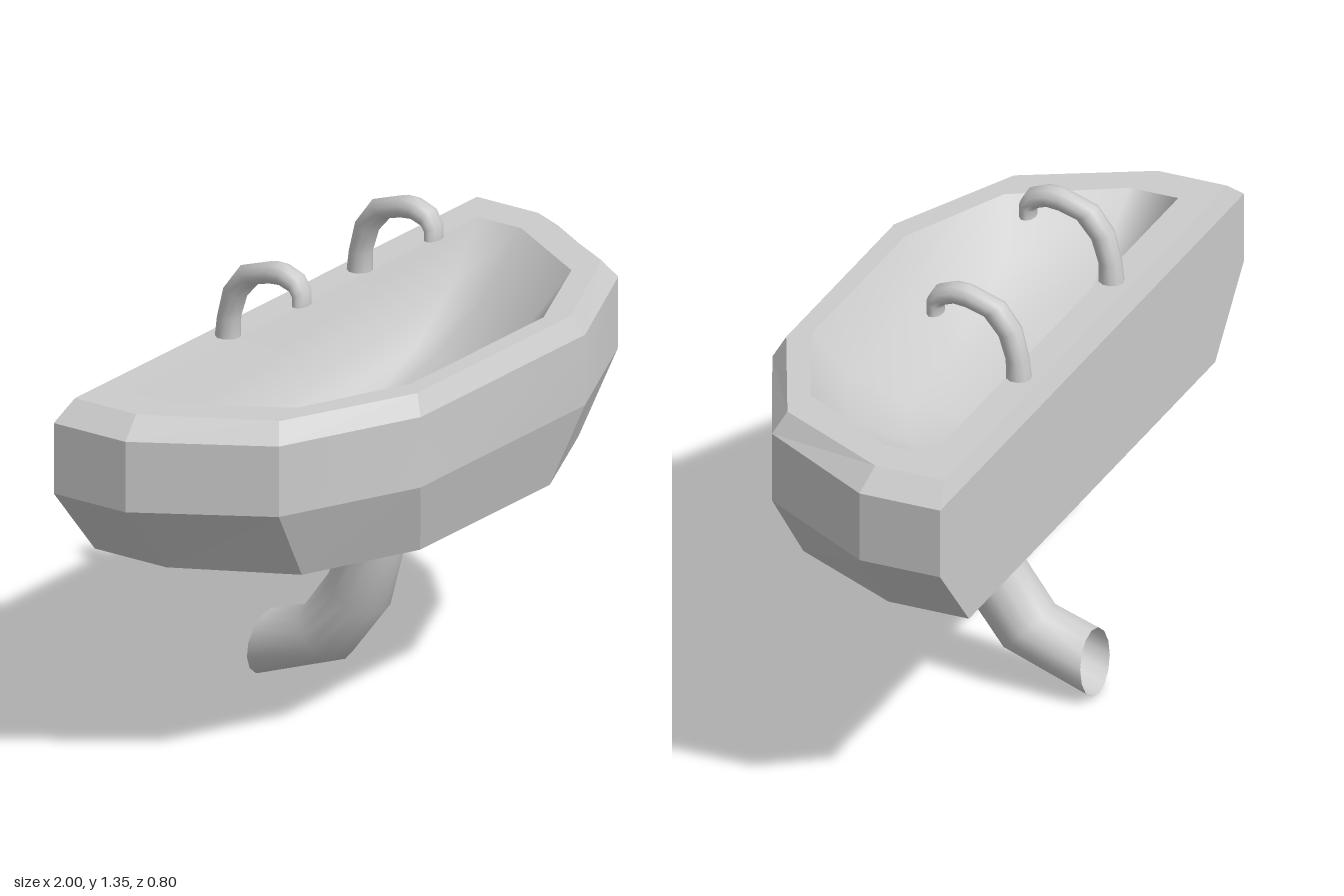
import * as THREE from 'three';
import { toCreasedNormals } from 'three/addons/utils/BufferGeometryUtils.js';

// Skins a series of closed rings (arrays of Vector3 with equal counts).
function loft(rings) {
  const n = rings[0].length;
  const index = [];
  const points = rings.flat();
  const tri = (a, b, c) => {
    const [p, q, r] = [points[a], points[b], points[c]];
    if (p.distanceTo(q) > 1e-6 && q.distanceTo(r) > 1e-6 && r.distanceTo(p) > 1e-6) index.push(a, b, c);
  };
  for (let i = 0; i < rings.length - 1; i++) {
    for (let j = 0; j < n; j++) {
      const k = (j + 1) % n;
      const a = i * n + j, b = i * n + k, c = b + n, d = a + n;
      tri(a, b, c);
      tri(a, c, d);
    }
  }
  const geometry = new THREE.BufferGeometry().setFromPoints(points);
  geometry.setIndex(index);
  geometry.computeVertexNormals();
  return geometry;
}

// Mirrors half an outline [x, z], listed front to back, into a full ring.
function outline(half, y) {
  const left = half.map(([x, z]) => new THREE.Vector3(x, y, z));
  const right = half.map(([x, z]) => new THREE.Vector3(-x, y, z)).reverse();
  return [...left, ...right];
}

// Bent pipe: each section is [z, y, z, y] for its outer and inner edge.
function bentPipe(sections, halfWidth, sides, capEnd) {
  const rings = sections.map(([z0, y0, z1, y1]) => {
    const ring = [];
    for (let j = 0; j < sides; j++) {
      const t = (j / sides) * Math.PI * 2;
      const c = Math.cos(t) / 2;
      ring.push(new THREE.Vector3(
        halfWidth * Math.sin(t),
        (y0 + y1) / 2 + (y0 - y1) * c,
        (z0 + z1) / 2 + (z0 - z1) * c));
    }
    return ring;
  });
  if (capEnd) {
    const [z0, y0, z1, y1] = sections[sections.length - 1];
    const center = new THREE.Vector3(0, (y0 + y1) / 2, (z0 + z1) / 2);
    rings.push(rings[rings.length - 1].map((p) => p.clone()), rings[0].map(() => center.clone()));
  }
  return loft(rings);
}

export function createModel() {
  const group = new THREE.Group();
  const flat = new THREE.MeshStandardMaterial({ color: 0xcccccc, flatShading: true });
  const smooth = new THREE.MeshStandardMaterial({ color: 0xcccccc });
  const open = new THREE.MeshStandardMaterial({ color: 0xcccccc, side: THREE.DoubleSide });
  const add = (name, geometry, material) => {
    const mesh = new THREE.Mesh(geometry, material);
    mesh.name = name;
    group.add(mesh);
    return mesh;
  };

  // Half outlines of the basin at each height
  const base = [[0.3, 0.34], [0.64, 0.19], [0.81, -0.14], [0.81, -0.38]];
  const side = [[0.38, 0.4], [0.785, 0.218], [1, -0.14], [1, -0.38]];
  const rim = [[0.355, 0.37], [0.745, 0.19], [0.93, -0.155], [0.93, -0.36]];
  const mouth = [[0.305, 0.315], [0.635, 0.17], [0.81, -0.125], [0.81, -0.27]];
  const shrink = (half, s, centerZ) => half.map(([x, z]) => [x * s, centerZ + (z - centerZ) * s]);

  // Tapered underside with closed bottom
  add('underside', loft([
    outline(shrink(base, 0, 0), 0.62), outline(base, 0.62), outline(side, 0.84),
  ]), flat);

  // Upright band around the basin
  add('basinWall', toCreasedNormals(loft([outline(side, 0.84), outline(side, 1.045)]), 0.52), smooth);

  // Bevel and flat top edge
  add('rim', loft([outline(side, 1.045), outline(rim, 1.1), outline(mouth, 1.1)]), flat);

  // Rounded hollow, steep at the back and sloping gently up to the front
  add('bowl', loft([
    [1, 1.1], [0.8, 0.96], [0.52, 0.855], [0.25, 0.81], [0, 0.8],
  ].map(([s, y]) => outline(shrink(mouth, s, -0.12), y))), smooth);

  // Drain pipe, open at the back
  add('drainPipe', bentPipe([
    [-0.105, 0.64, 0.075, 0.64],
    [-0.115, 0.48, 0.05, 0.46],
    [-0.165, 0.36, 0, 0.27],
    [-0.26, 0.23, -0.13, 0.1],
    [-0.38, 0.19, -0.4, 0],
  ], 0.095, 14, false), open).position.x = 0.003;

  // Pair of curved taps
  const tap = bentPipe([
    [-0.336, 1.1, -0.264, 1.1],
    [-0.328, 1.157, -0.264, 1.157],
    [-0.307, 1.246, -0.243, 1.221],
    [-0.257, 1.314, -0.2, 1.271],
    [-0.152, 1.35, -0.152, 1.285],
    [-0.109, 1.35, -0.115, 1.289],
    [-0.055, 1.33, -0.083, 1.278],
    [-0.03, 1.289, -0.075, 1.266],
    [-0.03, 1.246, -0.075, 1.246],
  ], -0.035, 10, true);
  for (const [name, x] of [['leftTap', 0.305], ['rightTap', -0.305]]) {
    add(name, tap, smooth).position.x = x;
  }

  return group;
}
